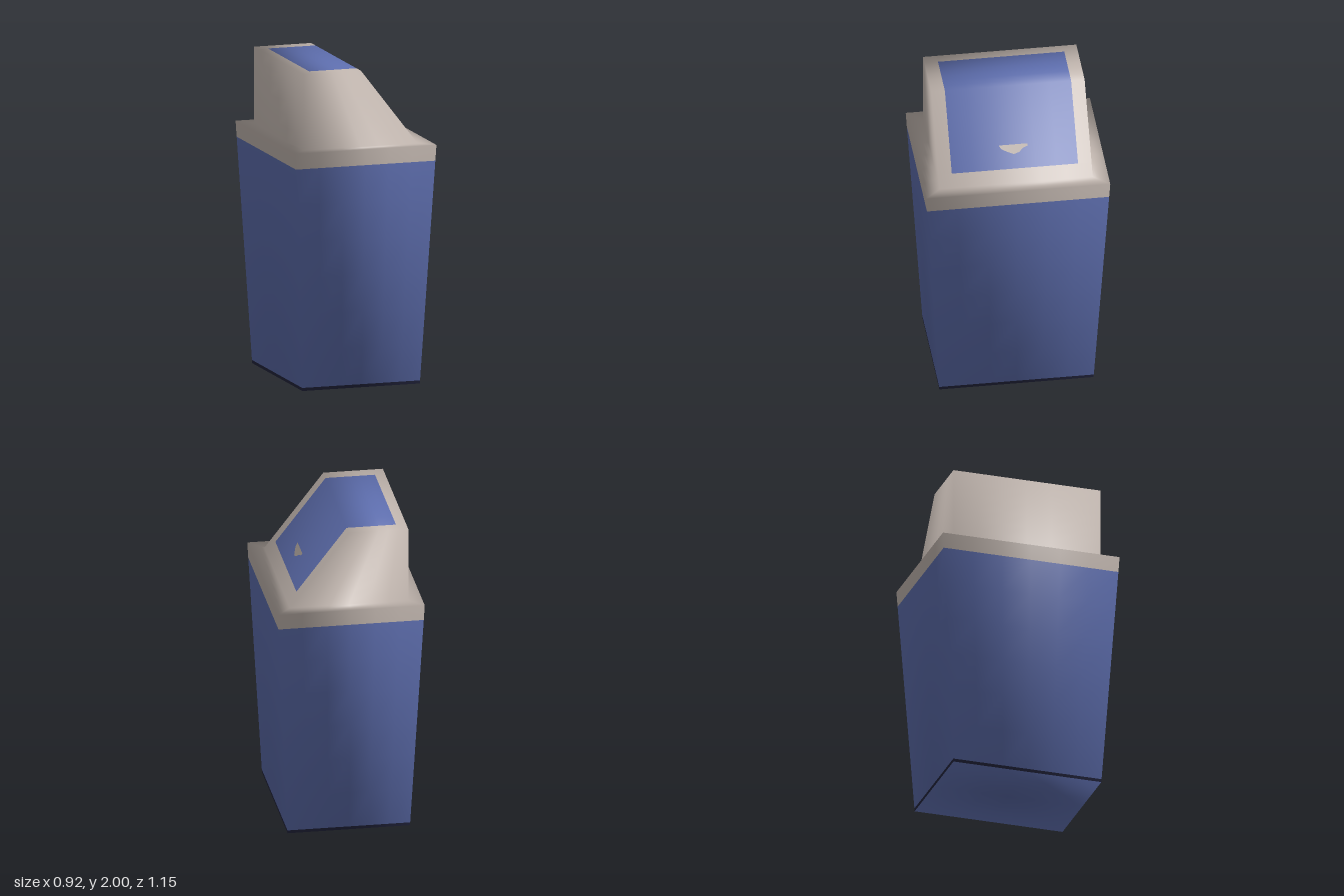
import * as THREE from 'three';

export function createModel() {
  const mat = (name, color) => {
    const m = new THREE.MeshStandardMaterial({ color });
    m.name = name;
    return m;
  };
  const beige = mat('warm grey plastic', 0xbcb1aa);
  const blue = mat('blue plastic', 0x5c6cab);
  const dark = mat('dark navy trim', 0x24263f);

  const group = new THREE.Group();
  group.name = 'swingLidBin';

  // Four-cornered rings from the base to the lid top, counter-clockwise from above
  const ring = (x0, x1, z, y) =>
    [[x0, z], [x1, z], [x1, -z], [x0, -z]].map(([x, zz]) => ({
      p: new THREE.Vector3(x, y, zz), n: new THREE.Vector3(),
    }));
  const base = ring(-0.385, 0.385, 0.483, 0);
  const rim = ring(-0.462, 0.462, 0.577, 1.52);
  const lidFoot = ring(-0.375, 0.37, 0.48, 1.52);
  const lidTop = ring(-0.375, 0, 0.48, 2);
  const side = (lo, hi, k) => [lo[k], lo[(k + 1) % 4], hi[(k + 1) % 4], hi[k]];
  const sides = (lo, hi) => [0, 1, 2, 3].map((k) => side(lo, hi, k));

  const walls = sides(base, rim);
  const ledges = sides(rim, lidFoot);
  const lidSides = sides(lidFoot, lidTop);
  const floor = [...base].reverse();

  // Soft corner normals, shared by neighbouring faces
  for (const q of [...walls, ...ledges, ...lidSides, floor, lidTop]) {
    const n = q[2].p.clone().sub(q[0].p).cross(q[3].p.clone().sub(q[1].p));
    q.forEach((c) => c.n.add(n));
  }
  [base, rim, lidFoot, lidTop].flat().forEach((c) => c.n.normalize());

  // Part of a quad between (u0, v0) and (u1, v1), keeping the soft normals
  const patch = (name, material, q, u0 = 0, v0 = 0, u1 = 1, v1 = 1) => {
    const mix = (key, u, v) => q[0][key].clone().lerp(q[1][key], u)
      .lerp(q[3][key].clone().lerp(q[2][key], u), v);
    const geo = new THREE.PlaneGeometry(1, 1, 6, 6);
    const { position, normal, uv } = geo.attributes;
    for (let i = 0; i < position.count; i++) {
      const u = u0 + (u1 - u0) * uv.getX(i);
      const v = v0 + (v1 - v0) * uv.getY(i);
      const p = mix('p', u, v);
      const n = mix('n', u, v).normalize();
      position.setXYZ(i, p.x, p.y, p.z);
      normal.setXYZ(i, n.x, n.y, n.z);
    }
    const mesh = new THREE.Mesh(geo, material);
    mesh.name = name;
    group.add(mesh);
  };

  // A coloured panel with a frame around it
  const framed = (name, q, u0, v0, u1, v1) => {
    patch(name, blue, q, u0, v0, u1, v1);
    if (v0 > 0) patch('lidFrame', beige, q, 0, 0, 1, v0);
    if (v1 < 1) patch('lidFrame', beige, q, 0, v1, 1, 1);
    if (u0 > 0) patch('lidFrame', beige, q, 0, v0, u0, v1);
    if (u1 < 1) patch('lidFrame', beige, q, u1, v0, 1, v1);
  };

  // Tapered body: dark foot, blue wall, pale rim
  for (const q of walls) {
    patch('footTrim', dark, q, 0, 0, 1, 0.013);
    patch('bodyWall', blue, q, 0, 0.013, 1, 0.934);
    patch('rim', beige, q, 0, 0.934, 1, 1);
  }
  patch('floor', blue, floor);
  ledges.forEach((q) => patch('rimLedge', beige, q));

  // Lid: three plain sides, and a flap folded over the slope and the top
  [0, 2, 3].forEach((k) => patch('lidSide', beige, lidSides[k]));
  framed('slopingFlap', lidSides[1], 0.088, 0.148, 0.912, 1);
  framed('topFlap', lidTop, 0.17, 0.088, 1, 0.912);

  // Small finger grip on the sloping flap
  const grip = new THREE.Shape([
    [-0.09, 0], [-0.075, -0.025], [-0.035, -0.045], [0, -0.06],
    [0.035, -0.05], [0.06, -0.025], [0.09, -0.015], [0.09, 0],
  ].map(([x, y]) => new THREE.Vector2(x, y)));
  const up = new THREE.Vector3(-0.37, 0.48, 0).normalize();
  const out = new THREE.Vector3(0.48, 0.37, 0).normalize();
  const gripMesh = new THREE.Mesh(new THREE.ShapeGeometry(grip), beige);
  gripMesh.name = 'fingerGrip';
  gripMesh.quaternion.setFromRotationMatrix(
    new THREE.Matrix4().makeBasis(new THREE.Vector3(0, 0, -1), up, out));
  gripMesh.position.set(0.2235, 1.71, 0).addScaledVector(out, 0.004);
  group.add(gripMesh);

  return group;
}
